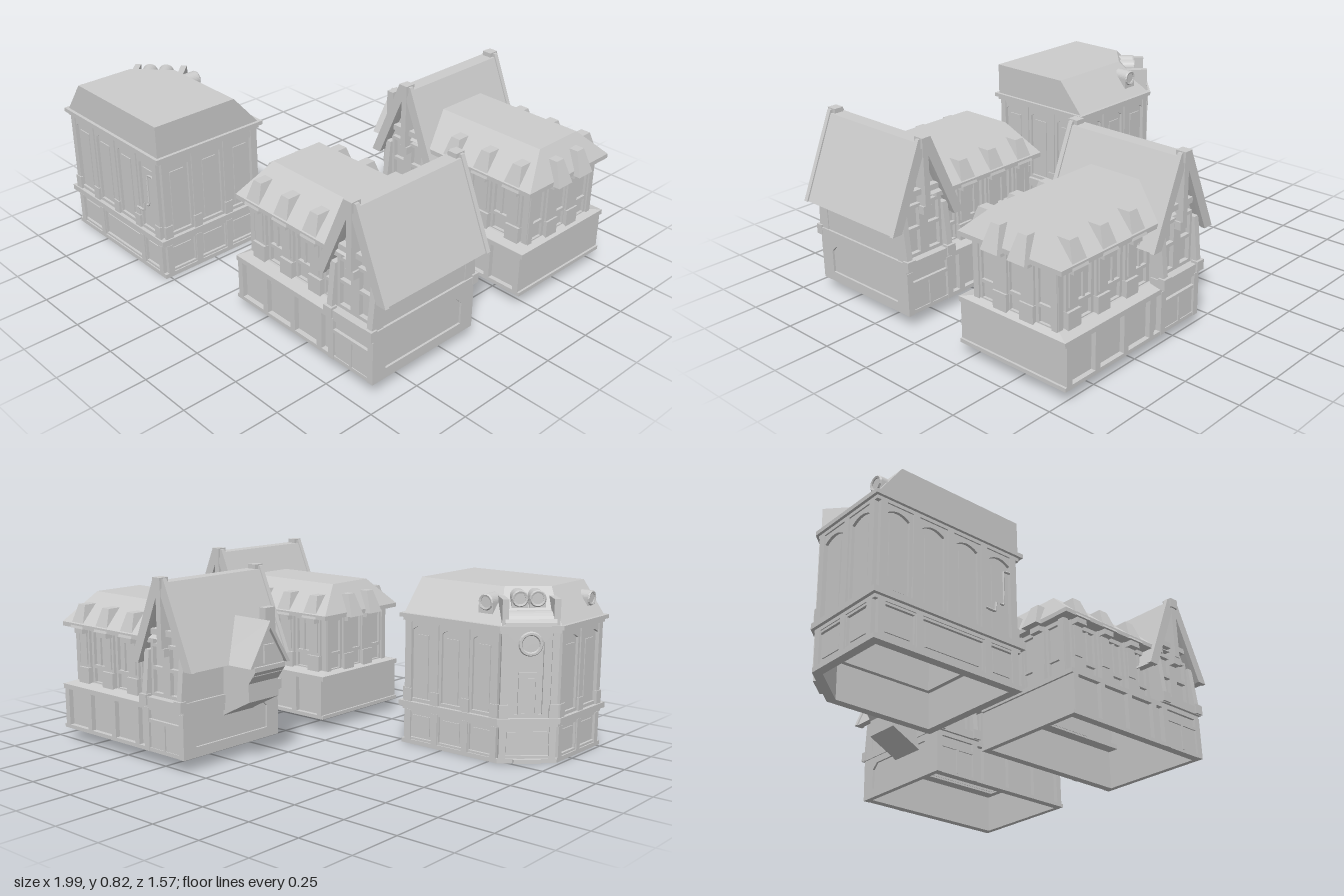
import * as THREE from 'three';

const grey = new THREE.MeshStandardMaterial({ color: 0xcccccc, flatShading: true, side: THREE.DoubleSide });

function add(parent, name, geo, x = 0, y = 0, z = 0) {
  const m = new THREE.Mesh(geo, grey);
  m.name = name;
  m.position.set(x, y, z);
  parent.add(m);
  return m;
}
function group(parent, name, x = 0, z = 0, turn = 0) {
  const g = new THREE.Group();
  g.name = name;
  g.position.set(x, 0, z);
  g.rotation.y = turn;
  parent.add(g);
  return g;
}
// box given by its limits
const box = (p, name, x0, x1, y0, y1, z0, z1) =>
  add(p, name, new THREE.BoxGeometry(x1 - x0, y1 - y0, z1 - z0), (x0 + x1) / 2, (y0 + y1) / 2, (z0 + z1) / 2);
const poly = (pts) => new THREE.Shape(pts.map(([x, y]) => new THREE.Vector2(x, y)));
const rect = (x0, x1, z0, z1) => [[x0, z1], [x1, z1], [x1, z0], [x0, z0]];
const extrude = (shape, depth) => new THREE.ExtrudeGeometry(shape, { depth, bevelEnabled: false, curveSegments: 8 });

// hollow wall between two plan outlines
function shell(p, name, outer, inner, y0, y1) {
  const s = poly(outer.map(([x, z]) => [x, -z]));
  s.holes.push(new THREE.Path(inner.map(([x, z]) => new THREE.Vector2(x, -z))));
  return add(p, name, extrude(s, y1 - y0).rotateX(-Math.PI / 2), 0, y0, 0);
}
// solid between two plan outlines of equal point count
function loft(p, name, low, high, y0, y1) {
  const n = low.length, v = [], idx = [];
  low.forEach(([x, z]) => v.push(x, y0, z));
  high.forEach(([x, z]) => v.push(x, y1, z));
  for (let i = 0; i < n; i++) {
    const j = (i + 1) % n;
    idx.push(i, j, n + j, i, n + j, n + i);
    if (i > 0 && i < n - 1) idx.push(n, n + i, n + i + 1, 0, i + 1, i);
  }
  const g = new THREE.BufferGeometry();
  g.setAttribute('position', new THREE.Float32BufferAttribute(v, 3));
  g.setIndex(idx);
  const flat = g.toNonIndexed();
  flat.computeVertexNormals();
  return add(p, name, flat);
}
// arched (rise > 0) or square opening
function opening(u0, u1, y0, y1, rise = 0) {
  const s = new THREE.Path();
  s.moveTo(u0, y0); s.lineTo(u1, y0); s.lineTo(u1, y1 - rise);
  if (rise) s.quadraticCurveTo((u0 + u1) / 2, y1 + rise, u0, y1 - rise);
  else s.lineTo(u0, y1);
  s.closePath();
  return s;
}
function plate(p, name, u0, u1, y0, y1, depth, holes, z = 0) {
  const s = poly([[u0, y0], [u1, y0], [u1, y1], [u0, y1]]);
  s.holes.push(...holes);
  return add(p, name, extrude(s, depth), 0, 0, z);
}
// move every edge of a plan outline outwards
function offset(pts, d) {
  const n = pts.length;
  const normal = (a, b) => { const l = Math.hypot(b[0] - a[0], b[1] - a[1]); return [-(b[1] - a[1]) / l, (b[0] - a[0]) / l]; };
  return pts.map((p, i) => {
    const a = normal(pts[(i + n - 1) % n], p), b = normal(p, pts[(i + 1) % n]);
    const k = d / (1 + a[0] * b[0] + a[1] * b[1]);
    return [p[0] + (a[0] + b[0]) * k, p[1] + (a[1] + b[1]) * k];
  });
}

function cornerBuilding(root) {
  const g = group(root, 'cornerBuilding');
  const plan = [[-0.965, 0.755], [-0.295, 0.755], [-0.295, 0.235], [-0.785, 0.235], [-0.965, 0.405]];
  const ring = (name, out, inn, y0, y1) => shell(g, name, offset(plan, out), offset(plan, inn), y0, y1);
  ring('walls', 0, -0.02, 0, 0.6);
  ring('plinth', 0.018, -0.02, 0, 0.02);
  ring('beltCourse', 0.016, -0.04, 0.16, 0.175);
  ring('beltCourseTop', 0.03, -0.04, 0.175, 0.2);
  ring('corniceLower', 0.018, -0.02, 0.57, 0.59);
  ring('cornice', 0.03, -0.02, 0.585, 0.603);

  // mansard slopes on the street sides only
  loft(g, 'mansardRoof', offset(plan, 0.015), [[-0.87, 0.77], [-0.28, 0.77], [-0.28, 0.35], [-0.72, 0.35], [-0.87, 0.49]], 0.6, 0.75);

  // each wall face: arched bays above, square panels between piers below
  const bays = [4, 3, 3, 1, 2];
  plan.forEach((a, i) => {
    const b = plan[(i + 1) % plan.length], dx = b[0] - a[0], dz = b[1] - a[1];
    const L = Math.hypot(dx, dz), n = bays[i], w = L / n;
    const f = group(g, 'wallFace', (a[0] + b[0]) / 2, (a[1] + b[1]) / 2, Math.atan2(-dz, dx));
    const arches = [], panels = [];
    const inside = (u) => Math.min(Math.max(u, -L / 2 + 0.015), L / 2 - 0.015);
    for (let k = 0; k < n; k++) {
      const c = -L / 2 + (k + 0.5) * w, h = Math.min(w / 2 - 0.03, 0.06);
      arches.push(opening(c - h, c + h, 0.215, 0.55, 0.02));
      if (i !== 3) box(f, 'windowSash', c - h * 0.65, c + h * 0.65, 0.22, 0.51, 0, 0.005);
    }
    for (let k = 0; k <= n; k++) {
      const c = inside(-L / 2 + k * w);
      box(f, 'pilaster', c - 0.015, c + 0.015, 0.2, 0.57, 0.01, 0.018);
      box(f, 'pilasterFoot', c - 0.02, c + 0.02, 0.2, 0.26, 0.01, 0.023);
    }
    const cuts = i === 0 ? [0, 0.28, 0.77, 1] : Array.from({ length: n + 1 }, (_, k) => k / n);
    cuts.forEach((t, k) => {
      const c = inside((t - 0.5) * L);
      box(f, 'basePier', c - 0.015, c + 0.015, 0, 0.16, 0.01, 0.018);
      if (k === 0) return;
      const u0 = (cuts[k - 1] - 0.5) * L, u1 = (t - 0.5) * L;
      panels.push(opening(u0 + 0.02, u1 - 0.02, 0.03, 0.15));
      box(f, 'basePanel', u0 + 0.035, u1 - 0.035, 0.045, 0.135, 0, 0.005);
    });
    plate(f, 'archedWall', -L / 2, L / 2, 0.2, 0.585, 0.012, arches);
    plate(f, 'basePanels', -L / 2, L / 2, 0.02, 0.16, 0.012, panels);
    if (i === 0) { // drain pipes
      const pipe = (pts) => add(f, 'drainPipe', new THREE.TubeGeometry(
        new THREE.CatmullRomCurve3(pts.map(([u, y]) => new THREE.Vector3(u, y, 0.018)), false, 'catmullrom', 0.1), 16, 0.005, 6));
      pipe([[0.17, 0.3], [0.22, 0.3], [0.225, 0.34]]);
      pipe([[0.25, 0.34], [0.265, 0.345], [0.265, 0.49], [0.3, 0.495]]);
    }
    if (i === 3) { // entrance with clock and curved hood
      plate(f, 'door', -0.045, 0.045, 0.2, 0.4, 0.008, [opening(-0.03, 0.03, 0.22, 0.38, 0.015)]);
      box(f, 'doorLeaf', -0.03, 0.03, 0.22, 0.37, 0, 0.004);
      add(f, 'clockFace', new THREE.CylinderGeometry(0.042, 0.042, 0.016, 20).rotateX(Math.PI / 2), 0, 0.525, 0.012);
      add(f, 'clockRim', new THREE.TorusGeometry(0.045, 0.009, 6, 20), 0, 0.525, 0.02);
      add(f, 'curvedHood', new THREE.CylinderGeometry(0.06, 0.06, 0.22, 12, 1, false, 0, Math.PI).rotateZ(Math.PI / 2), 0, 0.6, -0.04);
      for (const u of [-0.11, 0.11]) box(f, 'hoodEnd', u - 0.014, u + 0.014, 0.6, 0.715, -0.11, 0.012);
      box(f, 'step', -0.06, 0.06, 0, 0.018, 0, 0.03);
    }
    // round-headed dormers: along, height, radius, front plane
    const spots = { 2: [[0.15, 0.69, 0.036, -0.02]], 3: [[-0.038, 0.708, 0.036, -0.05], [0.038, 0.708, 0.036, -0.05]], 4: [[0.13, 0.68, 0.034, -0.02]] }[i] || [];
    for (const [u, y, r, front] of spots) {
      const s = new THREE.Shape();
      s.moveTo(-r, -0.07); s.lineTo(r, -0.07); s.lineTo(r, 0);
      s.absarc(0, 0, r, 0, Math.PI, false);
      s.closePath();
      add(f, 'roundDormer', extrude(s, 0.07), u, y, front - 0.07);
      add(f, 'dormerRim', new THREE.TorusGeometry(r - 0.006, 0.007, 5, 14), u, y, front);
    }
  });
}

// gabled front block with a mansard wing towards -x; ridge of the gable on x = 0
function gabledHouse(root, name, x, z, turn) {
  const g = group(root, name, x, z, turn);
  const bays = [-0.595, -0.425, -0.255];
  // hollow base storey, open underneath
  shell(g, 'baseStorey', rect(-0.685, 0.115, -0.26, 0.26), rect(-0.67, 0.1, -0.245, 0.245), 0.055, 0.25);
  shell(g, 'plinth', rect(-0.695, 0.125, -0.282, 0.282), rect(-0.67, 0.1, -0.245, 0.245), 0.055, 0.072);
  shell(g, 'sillBand', rect(-0.695, 0.125, -0.282, 0.282), rect(-0.64, 0.1, -0.19, 0.19), 0.24, 0.262);
  // upper walls of wing and gable block in one outline
  const upper = [[-0.65, 0.2], [-0.12, 0.2], [-0.12, 0.24], [0.12, 0.24], [0.12, -0.24], [-0.12, -0.24], [-0.12, -0.2], [-0.65, -0.2]];
  shell(g, 'upperWalls', upper, offset(upper, -0.012), 0.25, 0.55);
  box(g, 'gableSideBand', 0.1, 0.13, 0.262, 0.3, -0.295, 0.295);
  box(g, 'eaves', -0.698, -0.07, 0.53, 0.55, -0.268, 0.268);
  loft(g, 'mansardRoof', rect(-0.698, -0.02, -0.268, 0.268), rect(-0.622, -0.02, -0.125, 0.125), 0.55, 0.68);
  // gable top and overhanging roof with a flat ridge strip
  add(g, 'gableTop', extrude(poly([[-0.12, 0.53], [0.12, 0.53], [0.02, 0.76], [-0.02, 0.76]]), 0.48), 0, 0, -0.24);
  const chevron = (o, t, ridge) => poly([[o, 0.44], [0.032, ridge], [-0.032, ridge], [-o, 0.44], [t - o, 0.44], [0, ridge - t * 0.85], [o - t, 0.44]]);
  add(g, 'gableRoof', extrude(chevron(0.185, 0.035, 0.8), 0.57), 0, 0, -0.285);

  for (const s of [1, -1]) {
    const f = group(g, 'longSide', 0, 0, s > 0 ? 0 : Math.PI); // u = s * x
    const range = (a, b) => [Math.min(s * a, s * b), Math.max(s * a, s * b)];
    const at = (n, a, b, y0, y1, z0, z1) => box(f, n, ...range(a, b), y0, y1, z0, z1);
    // windows between panelled pilasters, each pilaster capped on the roof
    const holes = [-0.51, -0.34, -0.175].flatMap((c) => [[0.28, 0.345], [0.36, 0.51]].map(([y0, y1]) => opening(s * c - 0.036, s * c + 0.036, y0, y1)));
    plate(f, 'windowWall', ...range(-0.66, -0.1), 0.262, 0.53, 0.015, holes, 0.2);
    loft(f, 'sillSlope', rect(...range(-0.69, -0.1), 0.195, 0.28), rect(...range(-0.665, -0.1), 0.195, 0.225), 0.262, 0.275);
    for (const c of bays) {
      at('pilaster', c - 0.034, c + 0.034, 0.262, 0.53, 0.2, 0.228);
      at('pilasterPanel', c - 0.022, c + 0.022, 0.36, 0.51, 0.228, 0.235);
      at('pilasterFoot', c - 0.036, c + 0.036, 0.262, 0.345, 0.2, 0.24);
      at('eaveBracket', c - 0.028, c + 0.028, 0.505, 0.53, 0.228, 0.262);
      loft(f, 'roofCap', rect(s * c - 0.045, s * c + 0.045, 0.18, 0.272), rect(s * c - 0.023, s * c + 0.023, 0.14, 0.235), 0.53, 0.635);
    }
    for (const c of [-0.51, -0.34, -0.175]) at('windowMullion', c - 0.005, c + 0.005, 0.36, 0.51, 0.2, 0.21);
    at('cornerPost', -0.665, -0.64, 0.262, 0.53, 0.2, 0.222);
    for (const c of [-0.671, -0.51, -0.34, -0.18]) at('basePier', c - 0.014, c + 0.014, 0.06, 0.25, 0.25, 0.282);
    // gable end
    at('gableEndBase', -0.11, 0.115, 0.06, 0.25, 0.25, 0.27);
    at('gableBand', -0.13, 0.13, 0.262, 0.3, 0.23, 0.295);
    at('gableDoors', -0.09, 0.09, 0.07, 0.185, 0.27, 0.278);
    at('doorLintel', -0.1, 0.1, 0.185, 0.2, 0.27, 0.284);
    at('doorPost', -0.006, 0.006, 0.07, 0.19, 0.27, 0.284);
    for (const c of [-0.11, 0.11]) {
      at('gableCornerBase', c - 0.015, c + 0.015, 0.055, 0.25, 0.26, 0.285);
      loft(f, 'leaningPost', rect(s * c - 0.014, s * c + 0.014, 0.23, 0.292), rect(s * c - 0.014, s * c + 0.014, 0.23, 0.272), 0.3, 0.5);
      at('corbel', c - 0.022, c + 0.022, 0.265, 0.31, 0.27, 0.303);
    }
    plate(f, 'gableWindow', -0.096, 0.096, 0.3, 0.53, 0.02,
      [-0.053, 0.053].flatMap((c) => [[0.315, 0.415], [0.43, 0.515]].map(([y0, y1]) => opening(c - 0.03, c + 0.03, y0, y1))), 0.24);
    add(f, 'bargeBoard', extrude(chevron(0.192, 0.048, 0.815), 0.02), 0, 0, 0.272);
    at('kingPost', -0.014, 0.014, 0.52, 0.78, 0.24, 0.295);
    at('kingPostFoot', -0.022, 0.022, 0.485, 0.52, 0.24, 0.29);
    at('collarBeam', -0.08, 0.08, 0.57, 0.595, 0.24, 0.272);
    at('ridgeFinial', -0.022, 0.022, 0.775, 0.82, 0.255, 0.303);
  }
  // short end of the wing
  const e = group(g, 'wingEnd', -0.65, 0, -Math.PI / 2);
  plate(e, 'endWindowWall', -0.218, 0.218, 0.262, 0.53, 0.012,
    [-0.15, 0, 0.15].flatMap((c) => [[0.28, 0.345], [0.36, 0.51]].map(([y0, y1]) => opening(c - 0.03, c + 0.03, y0, y1))));
  loft(e, 'endSillSlope', rect(-0.28, 0.28, 0, 0.044), rect(-0.225, 0.225, 0, 0.015), 0.262, 0.275);
  for (const c of [-0.07, 0.07]) {
    box(e, 'endPilaster', c - 0.034, c + 0.034, 0.262, 0.53, 0, 0.022);
    box(e, 'endPilasterFoot', c - 0.036, c + 0.036, 0.262, 0.345, 0, 0.03);
    box(e, 'endBracket', c - 0.028, c + 0.028, 0.505, 0.53, 0.02, 0.045);
    loft(e, 'endRoofCap', rect(c - 0.045, c + 0.045, -0.02, 0.08), rect(c - 0.023, c + 0.023, -0.03, 0.04), 0.53, 0.635);
  }
  for (const c of [-0.205, 0.205]) box(e, 'endCornerPost', c - 0.014, c + 0.014, 0.262, 0.53, 0, 0.02);
  // shallow panel with clipped top on the outer base wall
  const p = group(g, 'baseSidePanel', 0.115, 0, Math.PI / 2);
  const frame = poly([[-0.27, 0.06], [0.27, 0.06], [0.27, 0.25], [-0.27, 0.25]]);
  frame.holes.push(poly([[-0.215, 0.1], [0.215, 0.1], [0.215, 0.2], [0.185, 0.23], [-0.185, 0.23], [-0.215, 0.2]]));
  add(p, 'panelFrame', extrude(frame, 0.01));
  return g;
}

// gabled oriel on the outer roof slope, carried on a stepped bracket
function oriel(house) {
  const g = group(house, 'oriel', 0, -0.045);
  const roof = poly([[-0.12, 0.44], [-0.1, 0.44], [0, 0.6], [0.1, 0.44], [0.12, 0.44], [0, 0.63]]);
  add(g, 'orielRoof', extrude(roof, 0.225).rotateY(Math.PI / 2), 0.09, 0, 0);
  const body = poly([[-0.09, 0.4], [0.09, 0.4], [0.09, 0.455], [0, 0.605], [-0.09, 0.455]]);
  add(g, 'orielWall', extrude(body, 0.19).rotateY(Math.PI / 2), 0.11, 0, 0);
  const profile = poly([[0.11, 0.2], [0.135, 0.215], [0.272, 0.285], [0.272, 0.365], [0.312, 0.42], [0.312, 0.44], [0.11, 0.44]]);
  add(g, 'orielBracket', extrude(profile, 0.18), 0, 0, -0.09);
  box(g, 'orielWindow', 0.3, 0.31, 0.45, 0.53, -0.03, 0.03);
  box(g, 'chimney', 0.207, 0.243, 0.44, 0.67, -0.105, -0.045);
}

export function createModel() {
  const root = new THREE.Group();
  root.name = 'townBuildings';
  cornerBuilding(root);
  gabledHouse(root, 'frontHouse', 0.805, 0.39, 0);
  oriel(gabledHouse(root, 'backHouse', 0.235, -0.485, Math.PI));
  return root;
}
